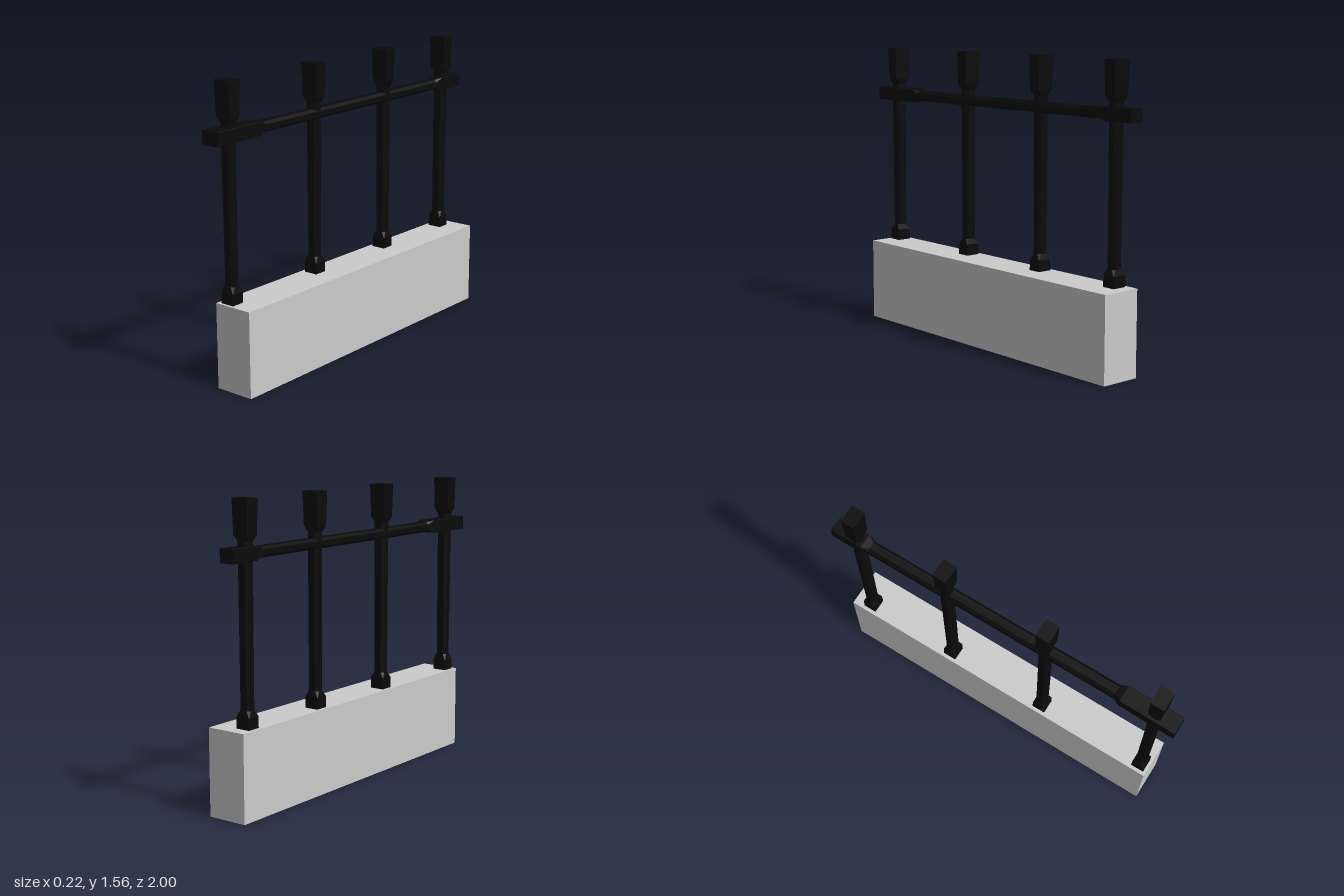
import * as THREE from 'three';

const iron = new THREE.MeshStandardMaterial({ color: 0x0a0a0a, flatShading: true });
const stone = new THREE.MeshStandardMaterial({ color: 0xcccccc, flatShading: true });

// Corners of a chamfered rectangle at height y
function ring([y, width, depth, c]) {
  const w = width / 2, d = depth / 2;
  return [[w, c - d], [w, d - c], [w - c, d], [c - w, d], [-w, d - c], [-w, c - d], [c - w, -d], [w - c, -d]]
    .map(([x, z]) => [x, y, z]);
}

// Bar along y through sections [y, width, depth, chamfer], closed at both ends
function bar(sections) {
  const rings = sections.map(ring);
  const pos = [];
  const tri = (...corners) => corners.forEach((p) => pos.push(...p));
  const first = rings[0], last = rings[rings.length - 1];
  const bottom = [0, sections[0][0], 0], top = [0, sections[sections.length - 1][0], 0];
  for (let i = 0; i < 8; i++) {
    const j = (i + 1) % 8;
    for (let k = 0; k < rings.length - 1; k++) {
      const a = rings[k], b = rings[k + 1];
      tri(a[i], b[i], a[j]);
      tri(a[j], b[i], b[j]);
    }
    tri(bottom, first[i], first[j]);
    tri(top, last[j], last[i]);
  }
  const geo = new THREE.BufferGeometry();
  geo.setAttribute('position', new THREE.Float32BufferAttribute(pos, 3));
  geo.computeVertexNormals();
  return geo;
}

export function createModel() {
  const group = new THREE.Group();
  const add = (name, geo, mat, x, y, z) => {
    const mesh = new THREE.Mesh(geo, mat);
    mesh.name = name;
    mesh.position.set(x, y, z);
    group.add(mesh);
  };

  // Low wall
  add('baseWall', new THREE.BoxGeometry(0.22, 0.45, 1.895), stone, 0, 0.225, -0.018);

  // Posts: square foot, chamfered shaft, flared square head
  const post = bar([
    [0.44, 0.08, 0.075, 0.002],
    [0.51, 0.08, 0.072, 0.002],
    [0.54, 0.064, 0.055, 0.014],
    [1.355, 0.068, 0.058, 0.014],
    [1.385, 0.09, 0.07, 0.002],
    [1.56, 0.1, 0.076, 0.002],
  ]);
  [0.877, 0.25, -0.33, -0.865].forEach((z, i) => add(`post${i + 1}`, post, iron, -0.051, 0, z));

  // Rail: chamfered bar with thicker square ends
  const rail = bar([
    [-1, 0.08, 0.07, 0.002],
    [-0.82, 0.08, 0.07, 0.002],
    [-0.78, 0.067, 0.055, 0.014],
    [0.655, 0.07, 0.055, 0.014],
    [0.69, 0.09, 0.068, 0.002],
    [1, 0.1, 0.073, 0.002],
  ]).rotateX(Math.PI / 2);
  add('rail', rail, iron, -0.051, 1.297, 0);

  return group;
}
